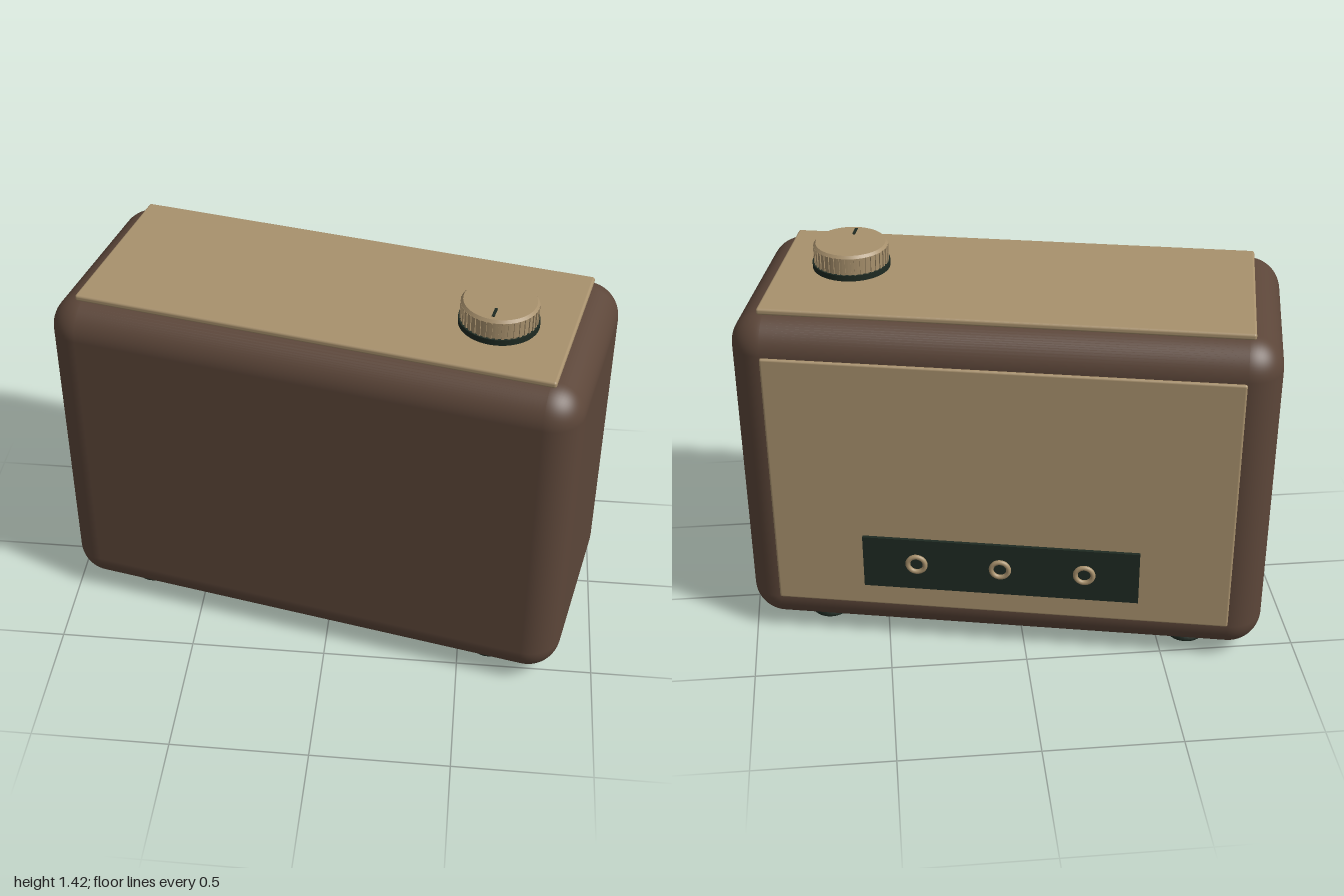
import * as THREE from 'three';
import { RoundedBoxGeometry } from 'three/addons/geometries/RoundedBoxGeometry.js';

export function createModel() {
  const material = (name, color) => {
    const m = new THREE.MeshStandardMaterial({ color });
    m.name = name;
    return m;
  };
  const brown = material('brown shell', 0x5c4639);
  const tan = material('tan panel', 0xa8916d);
  const dark = material('dark rubber', 0x1e2a22);

  const model = new THREE.Group();
  model.name = 'tabletopRadio';
  // the whole cabinet stands slightly turned
  const cabinet = new THREE.Group();
  cabinet.name = 'cabinet';
  cabinet.rotation.y = -THREE.MathUtils.degToRad(12);
  model.add(cabinet);

  const add = (name, geometry, mat, x, y, z, parent = cabinet) => {
    const mesh = new THREE.Mesh(geometry, mat);
    mesh.name = name;
    mesh.position.set(x, y, z);
    parent.add(mesh);
    return mesh;
  };
  const lathe = (points, segments = 48) =>
    new THREE.LatheGeometry(points.map(([r, y]) => new THREE.Vector2(r, y)), segments);

  // shell, top plate and rear panel
  add('shell', new RoundedBoxGeometry(1.912, 1.265, 0.836, 8, 0.122), brown, 0, 0.6695, 0);
  add('topPlate', new RoundedBoxGeometry(1.71, 0.024, 0.675, 3, 0.009), tan, 0, 1.311, 0);
  add('rearPanel', new RoundedBoxGeometry(1.667, 1.012, 0.03, 3, 0.008), tan, 0, 0.67, -0.413);

  // socket strip with three ringed sockets
  add('socketStrip', new THREE.BoxGeometry(1.008, 0.214, 0.02), dark, 0, 0.363, -0.43);
  for (const i of [-1, 0, 1]) {
    add('socketRing', new THREE.TorusGeometry(0.032, 0.009, 12, 32), tan, i * 0.306, 0.37, -0.447);
  }

  // feet with softened lower edges
  const foot = lathe([[0, 0], [0.064, 0], [0.07, 0.003], [0.073, 0.009], [0.073, 0.05], [0, 0.05]], 32);
  for (const x of [-0.683, 0.683]) {
    for (const z of [-0.25, 0.25]) add('foot', foot, dark, x, 0, z);
  }

  // dial: dark collar, ribbed knob and pointer mark
  const dial = new THREE.Group();
  dial.name = 'dial';
  dial.position.set(0.595, 1.322, 0.05);
  cabinet.add(dial);
  add('dialCollar', new THREE.CylinderGeometry(0.14, 0.14, 0.022, 48), dark, 0, 0.011, 0, dial);
  add('knobSide', new THREE.CylinderGeometry(0.131, 0.131, 0.066, 48, 1, true), tan, 0, 0.053, 0, dial);
  add('knobEdge', new THREE.CylinderGeometry(0.126, 0.134, 0.01, 48, 1, true), tan, 0, 0.089, 0, dial);
  add('knobTop', new THREE.CylinderGeometry(0.126, 0.126, 0.004, 48), tan, 0, 0.092, 0, dial);
  const ribs = 40;
  const rib = new THREE.BoxGeometry(0.01, 0.062, 0.01);
  for (let i = 0; i < ribs; i++) {
    const a = (i / ribs) * Math.PI * 2;
    add('knobRib', rib, tan, Math.sin(a) * 0.13, 0.053, Math.cos(a) * 0.13, dial).rotation.y = a;
  }
  add('pointerMark', new THREE.BoxGeometry(0.01, 0.005, 0.05), dark, 0, 0.0945, 0.085, dial);

  return model;
}
